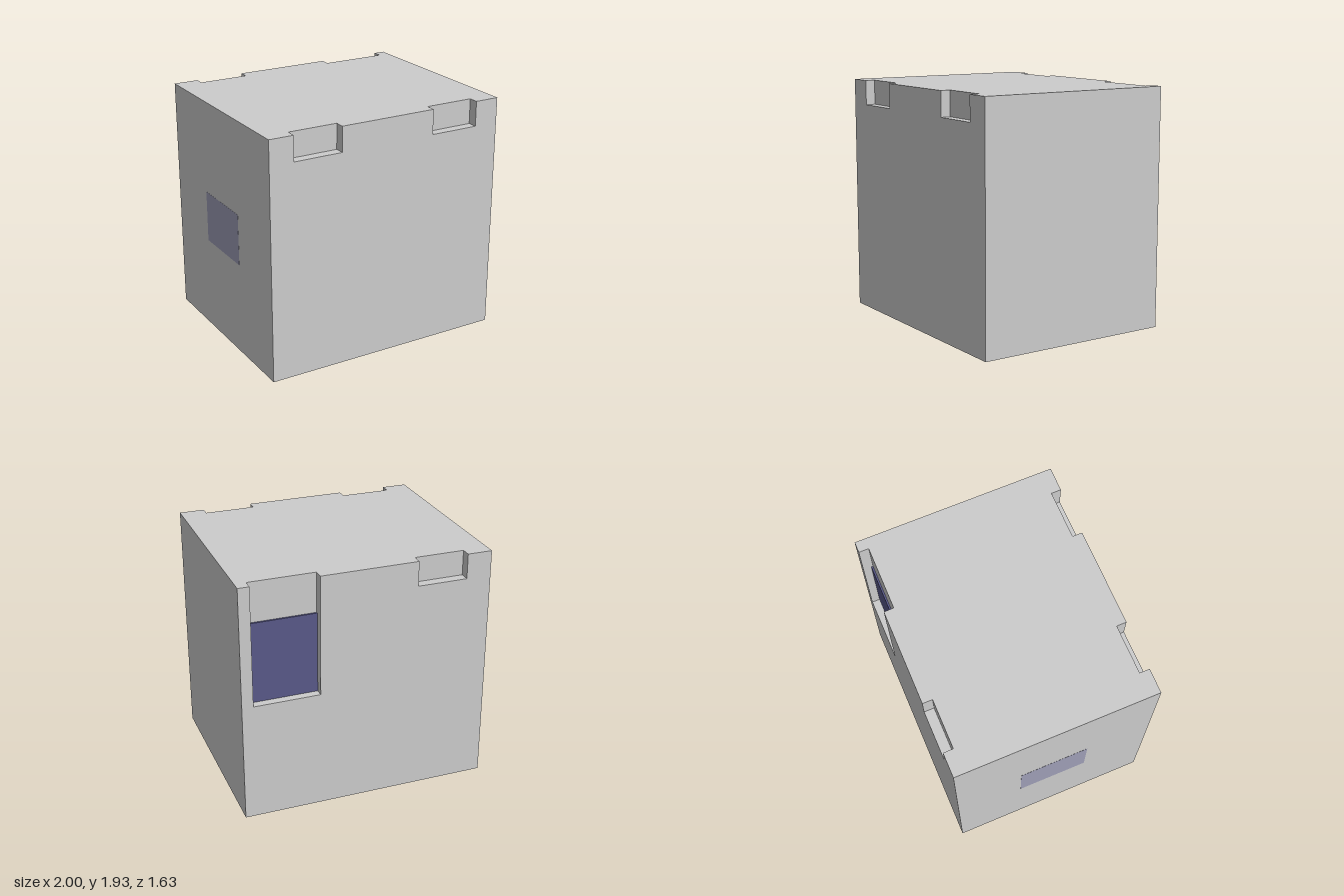
import * as THREE from 'three';

const W = 2, H = 1.935, D = 1.63;   // overall size
const RECESS = 0.08;                // depth of every notch
const SKIN = 0.001;                 // how far the side plate stands proud

const grey = new THREE.MeshStandardMaterial({ color: 0xcccccc, flatShading: true });
const navy = new THREE.MeshStandardMaterial({ color: 0x585888, flatShading: true });
const slate = new THREE.MeshStandardMaterial({ color: 0x9e9eb6, flatShading: true });

// Box given by its minimum and maximum corners
function box(name, material, min, max) {
  const size = max.map((v, i) => v - min[i]);
  const mesh = new THREE.Mesh(new THREE.BoxGeometry(...size), material);
  mesh.position.set(...min.map((v, i) => (v + max[i]) / 2));
  mesh.name = name;
  return mesh;
}

// Wall slab with notches [x0, x1, bottom] cut down from its top edge (ordered by x)
function notchedWall(name, notches, z) {
  const shape = new THREE.Shape();
  shape.moveTo(W / 2, 0);
  shape.lineTo(-W / 2 + SKIN, 0);
  shape.lineTo(-W / 2 + SKIN, H);
  for (const [x0, x1, bottom] of notches) {
    shape.lineTo(x0, H);
    shape.lineTo(x0, bottom);
    shape.lineTo(x1, bottom);
    shape.lineTo(x1, H);
  }
  shape.lineTo(W / 2, H);
  const geometry = new THREE.ExtrudeGeometry(shape, { depth: RECESS, bevelEnabled: false });
  const mesh = new THREE.Mesh(geometry, grey);
  mesh.position.z = z;
  mesh.name = name;
  return mesh;
}

export function createModel() {
  const model = new THREE.Group();
  model.name = 'cabinet';
  const inner = D / 2 - RECESS;
  const gripBottom = H - 0.2;
  const bay = [0.38, 0.91, 0.965];

  // Main block between the notched walls
  model.add(box('core', grey, [-W / 2 + SKIN, 0, -inner], [W / 2, H, inner]));

  // Front wall with two hand grips, back wall with a grip and a tall bay
  model.add(notchedWall('frontWall', [[-0.8, -0.4, gripBottom], [0.4, 0.8, gripBottom]], inner));
  model.add(notchedWall('backWall', [[-0.8, -0.4, gripBottom], bay], -D / 2));

  // Coloured panel in the lower part of the back bay
  model.add(box('bayPanel', navy, [bay[0], bay[2], -inner - 0.015], [bay[1], 1.615, -inner]));

  // Thin plate on the right side
  model.add(box('sidePlate', slate, [-W / 2, 0.76, -0.28], [-W / 2 + 2 * SKIN, 1.18, 0.28]));

  return model;
}
